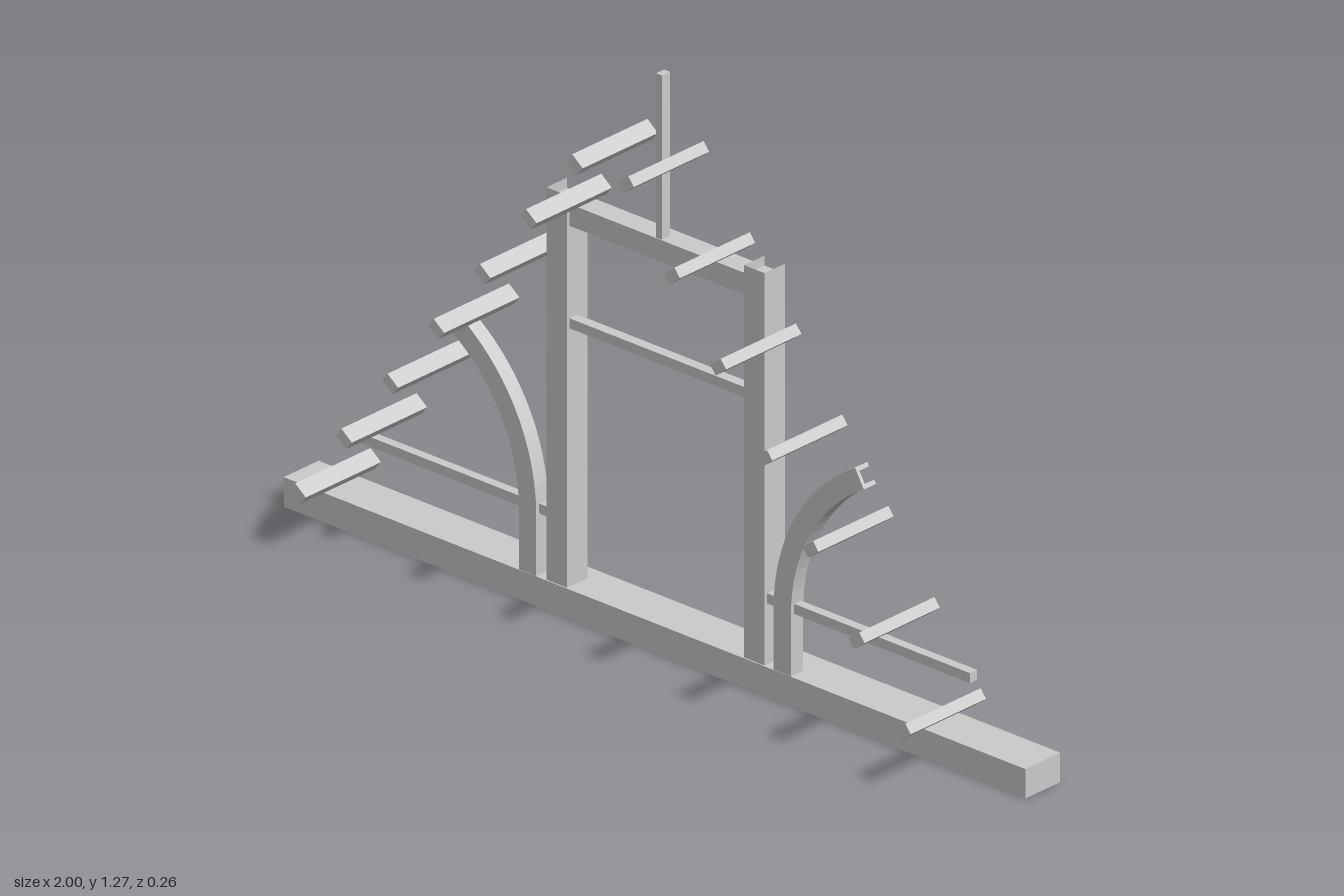
import * as THREE from 'three';

export function createModel() {
  const model = new THREE.Group();
  const mat = new THREE.MeshStandardMaterial({ color: 0xcccccc, flatShading: true });
  const thin = new THREE.MeshStandardMaterial({ color: 0xcccccc, flatShading: true, side: THREE.DoubleSide });

  const add = (name, geo, parent = model, m = mat) => {
    const mesh = new THREE.Mesh(geo, m);
    mesh.name = name;
    parent.add(mesh);
    return mesh;
  };
  // box given by its limits on each axis
  const box = (name, x0, x1, y0, y1, z0, z1, parent) => {
    const geo = new THREE.BoxGeometry(Math.abs(x1 - x0), y1 - y0, z1 - z0);
    return add(name, geo.translate((x0 + x1) / 2, (y0 + y1) / 2, (z0 + z1) / 2), parent);
  };
  const shape = (pts) => new THREE.Shape(pts.map(([x, y]) => new THREE.Vector2(x, y)));
  const extrude = (pts, z0, z1) =>
    new THREE.ExtrudeGeometry(shape(pts), { depth: z1 - z0, bevelEnabled: false }).translate(0, 0, z0);

  const floor = 0.065, inX = 0.239, outX = 0.294, postTop = 0.93;
  const front = -0.03, back = -0.09;

  // sill, crossbeam with mitred ends, thin crossbar and central spire
  box('baseBeam', -1, 1, 0, floor, -0.13, -0.027);
  add('crossBeam', extrude([[-inX, 0.86], [inX, 0.86], [outX, 0.908], [-outX, 0.908]], back, -0.038));
  box('crossBar', -inX, inX, 0.634, 0.656, -0.062, -0.038);
  box('spire', -0.008, 0.008, 0.908, 1.27, -0.064, -0.04);

  // open-topped hollow post, its back cut to meet the mitred crossbeam
  const addPost = (s) => {
    const post = new THREE.Group();
    post.name = s > 0 ? 'leftPost' : 'rightPost';
    model.add(post);
    const w = outX - inX, h = postTop - floor, d = front - back;
    const cx = s * (inX + outX) / 2, cy = (floor + postTop) / 2;
    add('postFront', new THREE.PlaneGeometry(w, h).translate(cx, cy, front), post, thin);
    for (const [name, x, turn] of [['postInnerSide', inX, -s], ['postOuterSide', outX, s]]) {
      const side = new THREE.PlaneGeometry(d, h).rotateY(turn * Math.PI / 2);
      add(name, side.translate(s * x, cy, (front + back) / 2), post, thin);
    }
    const backFace = new THREE.ShapeGeometry(shape(
      [[s * inX, floor], [s * outX, floor], [s * outX, 0.908], [s * inX, 0.86]]));
    add('postBack', backFace.translate(0, 0, back), post, thin);
  };

  // upright strip that curves outward; a and b are distances from its inner edge
  const strip = (s, a, b) => {
    const cx = 0.76, cy = 0.2, R = 0.44, steps = 16, pts = [];
    const edge = (off) => {
      const list = [[s * (cx - R + off), floor]];
      for (let i = 0; i <= steps; i++) {
        const t = (i / steps) * Math.PI / 3;
        list.push([s * (cx - (R - off) * Math.cos(t)), cy + (R - off) * Math.sin(t)]);
      }
      return list;
    };
    pts.push(...edge(a), ...edge(b).reverse());
    return pts;
  };

  // curved brace: a channel open to the back
  const addBrace = (s) => {
    const brace = new THREE.Group();
    brace.name = s > 0 ? 'leftBrace' : 'rightBrace';
    model.add(brace);
    const w = 0.047, t = 0.009;
    add('braceFace', extrude(strip(s, 0, w), -0.036, -0.028), brace);
    add('braceInnerWall', extrude(strip(s, 0, t), -0.064, -0.036), brace);
    add('braceOuterWall', extrude(strip(s, w - t, w), -0.064, -0.036), brace);
  };

  // roof battens, spaced evenly down each slope and turned square to it
  const addBattens = (s) => {
    const slope = THREE.MathUtils.degToRad(38), count = 7;
    for (let i = 0; i < count; i++) {
      const t = i / (count - 1);
      const batten = add('roofBatten', new THREE.BoxGeometry(0.036, 0.024, 0.222));
      batten.position.set(s * (0.069 + 0.747 * t), 1.11 - 0.966 * t, 0.022);
      batten.rotation.z = s * slope;
    }
  };

  for (const s of [1, -1]) {
    addPost(s);
    addBrace(s);
    box('sideRail', s * outX, s * 0.842, 0.2, 0.222, -0.058, -0.037);
    addBattens(s);
  }
  return model;
}
